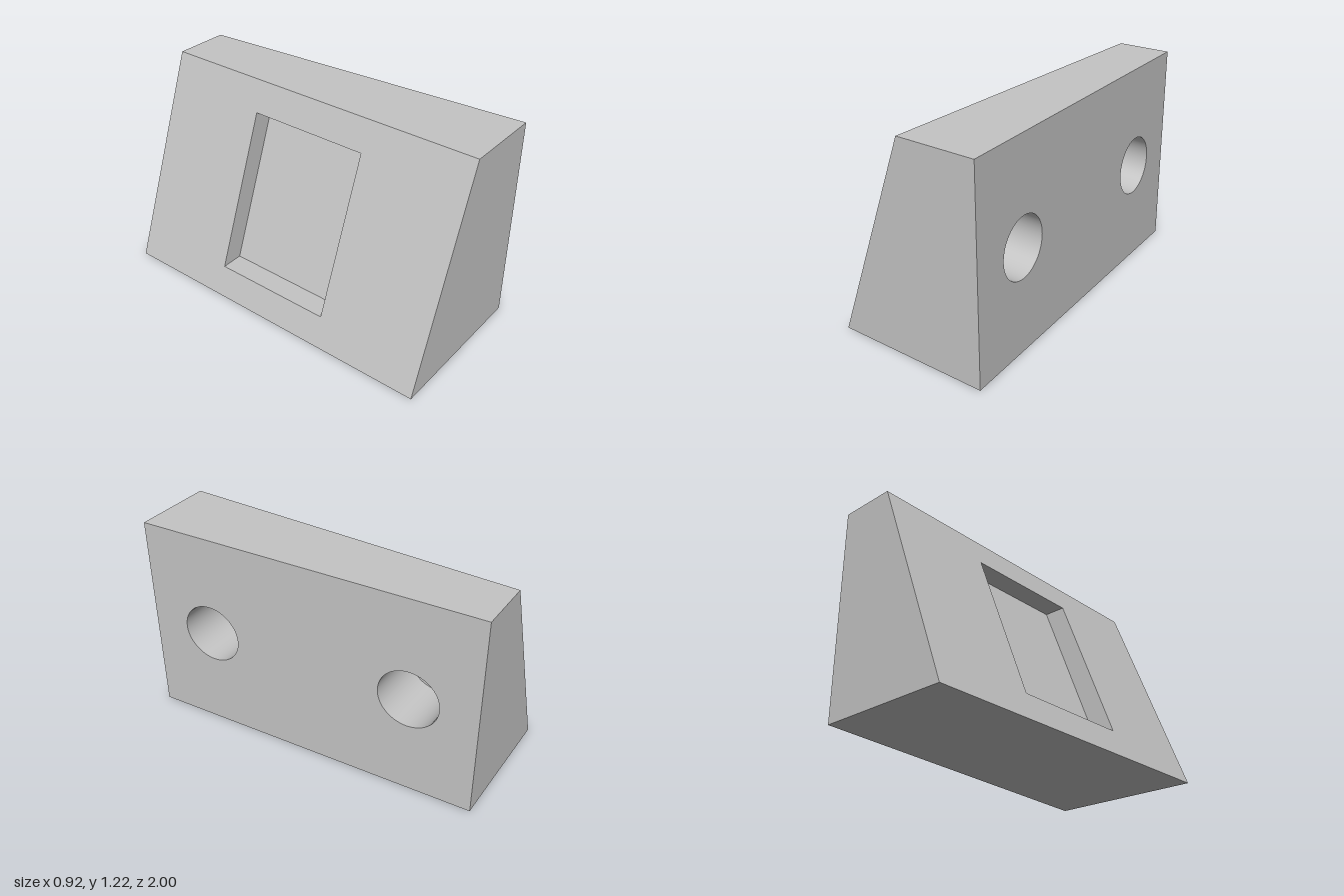
import * as THREE from 'three';

const H = 1.217, POCKET_DEPTH = 0.13, HOLE_DEPTH = 0.35, HOLE_R = 0.175;

// The two big faces, as x over (z, y)
const slant = (z, y) => -0.463 + 0.375 * y;
const taper = (z) => 0.39 + 0.071 * z;

// Outlines as counter-clockwise (z, y) loops
const rect = (z0, z1, y0, y1) =>
  [[z0, y0], [z1, y0], [z1, y1], [z0, y1]].map(([z, y]) => new THREE.Vector2(z, y));
const circle = (z, y, r, n = 64) => Array.from({ length: n }, (_, i) => {
  const a = (i / n) * Math.PI * 2;
  return new THREE.Vector2(z + r * Math.cos(a), y + r * Math.sin(a));
});

function reverseFaces(geometry) {
  const index = geometry.index;
  for (let i = 0; i < index.count; i += 3) {
    const a = index.getX(i);
    index.setX(i, index.getX(i + 1));
    index.setX(i + 1, a);
  }
}

// Flat sheet at x = xAt(z, y), facing -x or, reversed, +x
function sheet(loop, holes, xAt, reversed) {
  const shape = new THREE.Shape(loop);
  shape.holes = holes.map((h) => new THREE.Path(h));
  const g = new THREE.ShapeGeometry(shape);
  const p = g.attributes.position;
  for (let i = 0; i < p.count; i++) {
    const z = p.getX(i), y = p.getY(i);
    p.setXYZ(i, xAt(z, y), y, z);
  }
  if (reversed) reverseFaces(g);
  g.computeVertexNormals();
  return g;
}

// Walls along a loop between two x rules, facing inward or, reversed, outward
function walls(loop, xLow, xHigh, { reversed = false, smooth = false } = {}) {
  const pos = [], idx = [], n = loop.length;
  loop.forEach(({ x: z, y }, i) => {
    pos.push(xLow(z, y), y, z, xHigh(z, y), y, z);
    const a = 2 * i, b = 2 * ((i + 1) % n);
    idx.push(a, b, b + 1, a, b + 1, a + 1);
  });
  let g = new THREE.BufferGeometry();
  g.setAttribute('position', new THREE.Float32BufferAttribute(pos, 3));
  g.setIndex(idx);
  if (reversed) reverseFaces(g);
  if (!smooth) g = g.toNonIndexed();
  g.computeVertexNormals();
  return g;
}

export function createModel() {
  const model = new THREE.Group();
  model.name = 'wedgeBlock';
  const grey = new THREE.MeshStandardMaterial({ color: 0xc4c4c4 });
  grey.name = 'grey';
  const add = (name, geometry) => {
    const mesh = new THREE.Mesh(geometry, grey);
    mesh.name = name;
    model.add(mesh);
  };

  const outline = rect(-1, 1, 0, H);
  const pocket = rect(-0.36, 0.36, 0.165, 1.045);
  const holes = [0.61, -0.61].map((z) => circle(z, 0.61, HOLE_R));

  // Block
  add('slopedFace', sheet(outline, [pocket], slant, false));
  add('taperedFace', sheet(outline, holes, taper, true));
  add('outerWalls', walls(outline, slant, taper, { reversed: true }));

  // Rectangular pocket in the sloped face
  const pocketFloor = (z, y) => slant(z, y) + POCKET_DEPTH;
  add('pocketWalls', walls(pocket, slant, pocketFloor));
  add('pocketFloor', sheet(pocket, [], pocketFloor, false));

  // Two blind round holes in the tapered face
  holes.forEach((loop, i) => {
    const side = i ? 'back' : 'front';
    const floor = (z) => taper(z) - HOLE_DEPTH;
    add(side + 'HoleWall', walls(loop, floor, taper, { smooth: true }));
    add(side + 'HoleFloor', sheet(loop, [], floor, true));
  });
  return model;
}
